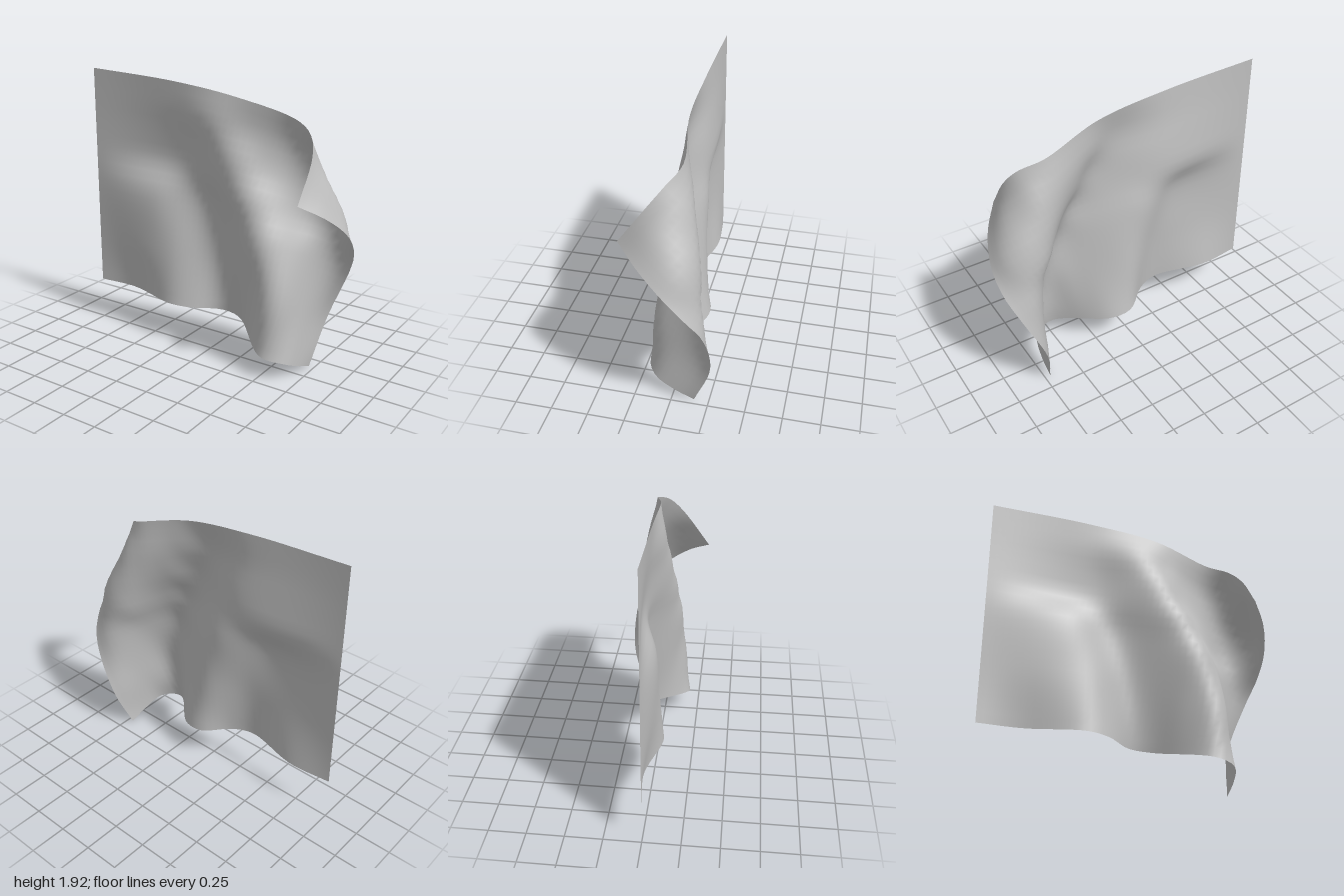
import * as THREE from 'three';

const top = 1.92, height = 1.61;

// Cross-sections of the waving cloth from top hem to bottom hem, closer together near the top
const folds = [
  [[-0.3, 1.883, 0], [0.2, 1.82, -0.005], [0.6, 1.71, -0.062], [0.74, 1.64, 0.01], [0.8, 1.53, 0.1], [0.81, 1.27, 0.29]],
  [[-0.3, 1.69, -0.01], [0.08, 1.64, 0.045], [0.3, 1.595, -0.02], [0.58, 1.505, -0.12], [0.72, 1.46, -0.115],
    [0.87, 1.34, 0], [0.93, 1.17, 0.14]],
  [[-0.25, 1.485, -0.035], [0.2, 1.43, 0.07], [0.4, 1.36, -0.02], [0.68, 1.25, -0.175], [0.82, 1.2, -0.175],
    [0.93, 1.13, -0.12], [1, 1.03, -0.03]],
  [[-0.2, 1.28, -0.045], [0.32, 1.19, 0.1], [0.46, 1.14, 0.04], [0.68, 1.05, -0.18], [0.82, 0.99, -0.215],
    [0.99, 0.88, -0.16]],
  [[-0.45, 1.11, 0.03], [-0.1, 1.08, -0.06], [0.42, 0.95, 0.125], [0.53, 0.91, 0.09], [0.74, 0.83, -0.18],
    [0.82, 0.79, -0.235], [0.93, 0.72, -0.25]],
  [[-0.32, 0.7, 0.04], [0.02, 0.658, -0.08], [0.38, 0.58, 0.09], [0.53, 0.53, 0.155], [0.62, 0.5, 0.12],
    [0.74, 0.38, -0.21], [0.775, 0.34, -0.27]],
  [[-0.7, 0.307, -0.02], [-0.3, 0.296, 0.07], [-0.15, 0.285, 0.02], [0.02, 0.262, -0.115], [0.17, 0.245, -0.105],
    [0.52, 0.155, 0.19], [0.66, 0.12, 0.13], [0.7, 0.06, 0], [0.71, 0, -0.15]],
];

export function createModel() {
  const model = new THREE.Group();
  model.name = 'flag';
  const curve = (points) => new THREE.CatmullRomCurve3(points, false, 'centripetal');

  // Every cross-section starts on the straight hoist edge
  const sections = folds.map((points, k) => curve([
    new THREE.Vector3(-1, top - height * Math.max(k / 8, (k - 2) / 4), 0),
    ...points.map((p) => new THREE.Vector3(...p)),
  ]));

  // Bend a flat sheet so each thread follows the cross-sections
  const nu = 48, nv = 24;
  const geometry = new THREE.PlaneGeometry(2, height, nu, nv);
  const position = geometry.attributes.position;
  for (let i = 0; i <= nu; i++) {
    const thread = curve(sections.map((section) => section.getPointAt(i / nu)));
    for (let j = 0; j <= nv; j++) {
      const p = thread.getPointAt(j / nv);
      position.setXYZ(j * (nu + 1) + i, p.x, p.y, p.z);
    }
  }
  geometry.computeVertexNormals();

  const material = new THREE.MeshStandardMaterial({ color: 0xbfbfbf, side: THREE.DoubleSide });
  material.name = 'light grey cloth';
  const cloth = new THREE.Mesh(geometry, material);
  cloth.name = 'cloth';
  model.add(cloth);
  return model;
}
